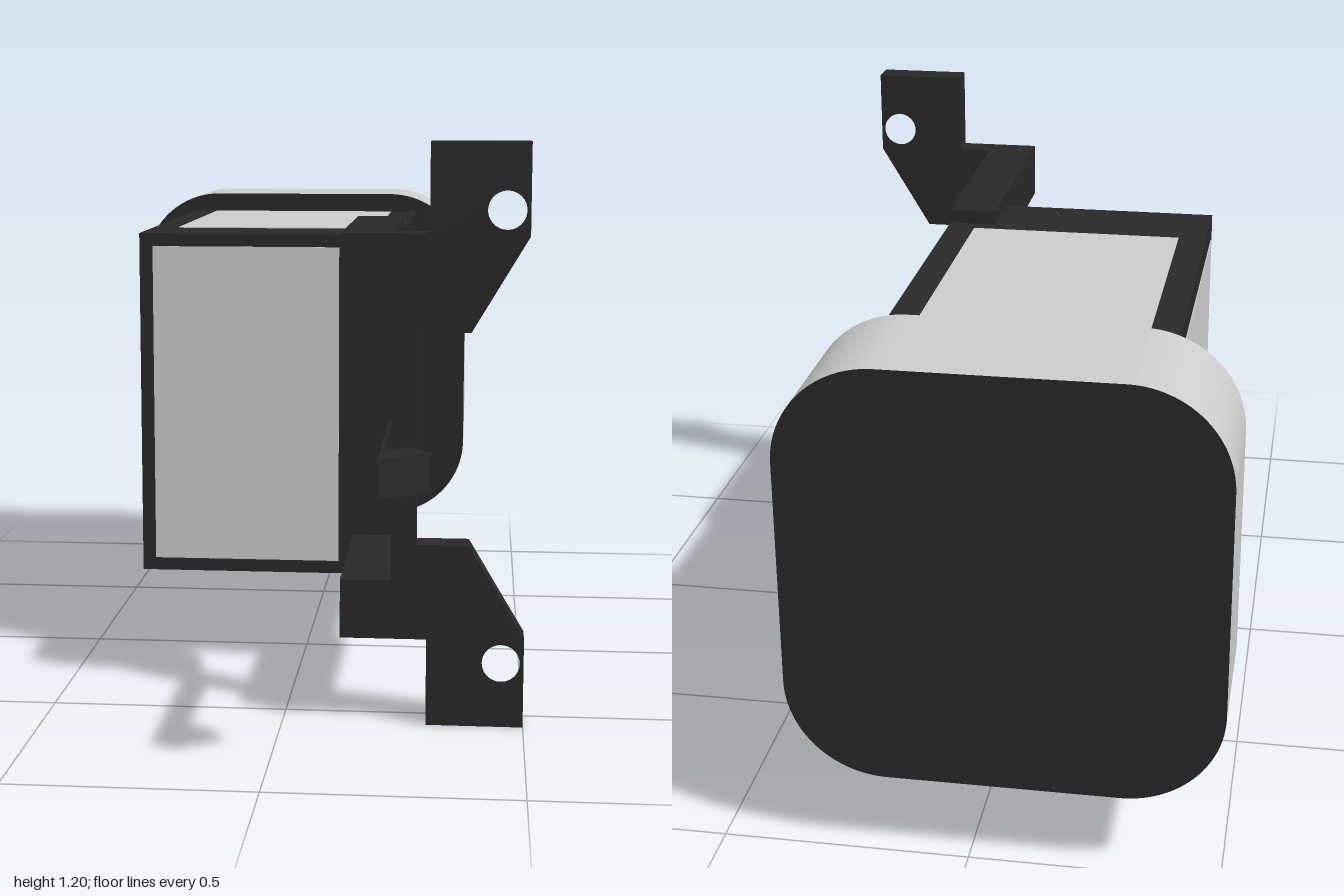
import * as THREE from 'three';
import { toCreasedNormals } from 'three/addons/utils/BufferGeometryUtils.js';

const dark = new THREE.MeshStandardMaterial({ color: 0x282828 });
const grey = new THREE.MeshStandardMaterial({ color: 0xcccccc });

export function createModel() {
  const group = new THREE.Group();
  const midY = 0.603;

  const add = (name, geometry, material) => {
    const mesh = new THREE.Mesh(geometry, material);
    mesh.name = name;
    group.add(mesh);
    return mesh;
  };
  // Box given by its limits on each axis
  const box = (name, [x0, x1], [y0, y1], [z0, z1], material) =>
    add(name, new THREE.BoxGeometry(x1 - x0, y1 - y0, z1 - z0), material)
      .position.set((x0 + x1) / 2, (y0 + y1) / 2, (z0 + z1) / 2);

  // Rounded cap at the back: dark faces, grey rim
  const [l, r, b, t, c] = [-0.5, 0.36, 0.172, 1.036, 0.2];
  const outline = new THREE.Shape();
  outline.absarc(r - c, b + c, c, -Math.PI / 2, 0);
  outline.absarc(r - c, t - c, c, 0, Math.PI / 2);
  outline.absarc(l + c, t - c, c, Math.PI / 2, Math.PI);
  outline.absarc(l + c, b + c, c, Math.PI, Math.PI * 1.5);
  const capGeo = new THREE.ExtrudeGeometry(outline, { depth: 0.285, bevelEnabled: false, curveSegments: 16 });
  capGeo.translate(0, 0, -1);
  add('cap', toCreasedNormals(capGeo, 0.6), [dark, grey]);

  // Main housing with flush grey panels
  box('housing', [-0.363, 0.224], [0.217, 0.99], [-0.715, 0.163], dark);
  box('frontPanel', [-0.333, 0.087], [0.246, 0.961], [0.15, 0.165], grey);
  box('topPanel', [-0.302, 0.162], [0.98, 0.992], [-0.685, -0.022], grey);
  box('bottomPanel', [-0.302, 0.162], [0.215, 0.227], [-0.685, -0.022], grey);
  box('sidePanel', [-0.365, -0.35], [0.246, 0.94], [-0.685, 0.133], grey);

  // Arms reaching forward to the mounting plate
  box('upperArm', [0.12, 0.225], [0.898, 1.022], [0.015, 0.577], dark);
  box('lowerArm', [0.12, 0.225], [0.184, 0.308], [0.015, 0.577], dark);

  // Mounting plate, mirrored about its middle, with two screw holes
  const half = [[0.224, 1.022], [0.299, 1.022], [0.299, 1.205], [0.5, 1.205],
    [0.5, 1.017], [0.384, 0.822], [0.276, 0.822]];
  const mirrored = half.map(([x, y]) => [x, 2 * midY - y]).reverse();
  const plate = new THREE.Shape([...half, ...mirrored].map(([x, y]) => new THREE.Vector2(x, y)));
  for (const y of [1.069, 2 * midY - 1.069]) {
    plate.holes.push(new THREE.Path().absarc(0.453, y, 0.039, 0, Math.PI * 2, true));
  }
  const plateGeo = new THREE.ExtrudeGeometry(plate, { depth: 0.064, bevelEnabled: false, curveSegments: 24 });
  plateGeo.translate(0, 0, 0.513);
  add('mountingPlate', toCreasedNormals(plateGeo, 0.6), dark);

  // Thin spring lever with a hooked tip
  box('lever', [0.219, 0.225], [0.566, 0.64], [0.57, 0.99], dark);
  const hook = new THREE.Shape([[0.219, -1], [0.314, -0.93], [0.272, -0.868], [0.219, -0.908]]
    .map(([x, y]) => new THREE.Vector2(x, y)));
  const hookGeo = new THREE.ExtrudeGeometry(hook, { depth: 0.074, bevelEnabled: false });
  hookGeo.rotateX(-Math.PI / 2).translate(0, 0.566, 0);
  add('hook', hookGeo, dark);

  return group;
}
